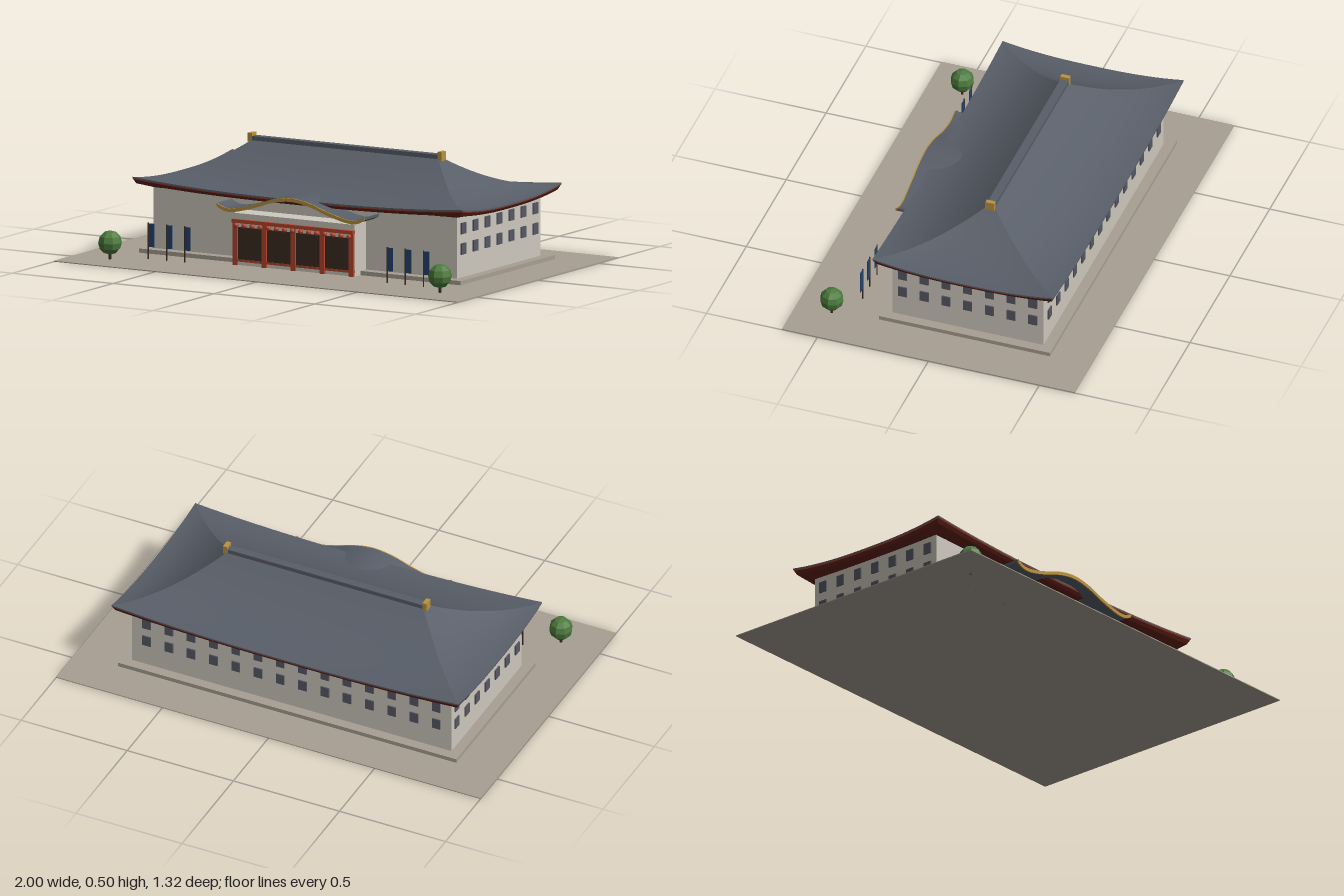
import * as THREE from 'three';

const mat = (name, color, extra = {}) => Object.assign(new THREE.MeshStandardMaterial({ color, ...extra }), { name });

export function createModel() {
  const model = new THREE.Group();
  model.name = 'hall';
  const stone = mat('stone', 0xa89f92);
  const plaster = mat('plaster', 0xcec9be);
  const tile = mat('roofTile', 0x585e68);
  const gold = mat('gold', 0xb8923f);
  const red = mat('redPaint', 0xb5452c);
  const maroon = mat('maroonEaves', 0x642219);
  const brown = mat('darkWood', 0x3c2c20);
  const blue = mat('bannerBlue', 0x24426f);
  const leaf = mat('leaf', 0x4c7a3c, { flatShading: true });
  const glass = mat('windowGrey', 0x575865);
  const CZ = -0.09; // centre of the hall in z

  const add = (name, geo, material, x = 0, y = 0, z = 0, parent = model) => {
    const m = new THREE.Mesh(geo, material);
    m.name = name;
    m.position.set(x, y, z);
    parent.add(m);
    return m;
  };
  // box given by centre x and z, and bottom and top y
  const box = (name, material, x, z, w, d, y0, y1, parent) =>
    add(name, new THREE.BoxGeometry(w, y1 - y0, d), material, x, (y0 + y1) / 2, z, parent);

  // ground, plinth, walls, porch
  box('ground', stone, 0, 0, 2, 1.32, 0, 0.004);
  box('plinth', stone, 0, CZ, 1.594, 0.772, 0.004, 0.022);
  box('walls', plaster, 0, CZ, 1.506, 0.682, 0.022, 0.292);
  box('porch', plaster, 0, 0.29, 0.6, 0.108, 0.004, 0.227);

  // windows: two rows on the sides and the back
  const windows = new THREE.Group();
  windows.name = 'windows';
  model.add(windows);
  for (const y of [0.145, 0.233]) {
    for (let i = -3; i <= 3; i++)
      for (const s of [-1, 1])
        box('sideWindow', glass, s * 0.755, CZ + i * 0.0978, 0.008, 0.039, y - 0.024, y + 0.024, windows);
    for (let i = 0; i < 14; i++)
      box('backWindow', glass, (i - 6.5) * 0.105, CZ - 0.343, 0.039, 0.008, y - 0.024, y + 0.024, windows);
  }

  // four-sided skirt through levels [halfX, halfZ, y, cornerLift], ordered inside-under to top
  const skirt = (name, levels, material) => {
    const N = 24, pos = [], idx = [];
    for (let side = 0; side < 4; side++) {
      const base = pos.length / 3;
      for (const [hx, hz, y, lift] of levels)
        for (let i = 0; i <= N; i++) {
          const u = (2 * i) / N - 1;
          const [x, z] = [[u * hx, hz], [hx, -u * hz], [-u * hx, -hz], [-hx, u * hz]][side];
          pos.push(x, y + lift * Math.abs(u) ** 2.5, z);
        }
      for (let l = 0; l < levels.length - 1; l++)
        for (let i = 0; i < N; i++) {
          const a = base + l * (N + 1) + i, b = a + 1, d = a + N + 1, c = d + 1;
          idx.push(a, b, c, a, c, d);
        }
    }
    const g = new THREE.BufferGeometry();
    g.setAttribute('position', new THREE.Float32BufferAttribute(pos, 3));
    g.setIndex(idx);
    g.computeVertexNormals();
    return add(name, g, material, 0, 0, CZ);
  };

  // curved hip roof with upswept corners
  const HX = 0.817, HZ = 0.408, LIFT = 0.029;
  const roofLevels = [];
  for (let i = 0; i <= 14; i++) {
    const t = i / 14;
    roofLevels.push([
      THREE.MathUtils.lerp(HX, 0.463, t), THREE.MathUtils.lerp(HZ, 0.016, t),
      0.303 + 0.162 * t ** 1.8, LIFT * (1 - t) ** 2,
    ]);
  }
  skirt('roof', roofLevels, tile);
  skirt('roofEdge', [[HX, HZ, 0.297, LIFT], [HX, HZ, 0.303, LIFT]], tile);
  skirt('eaveTrim', [[HX - 0.003, HZ - 0.003, 0.292, LIFT], [HX, HZ, 0.297, LIFT]], red);
  skirt('eaveFascia', [[HX - 0.012, HZ - 0.012, 0.28, LIFT * 0.8], [HX - 0.003, HZ - 0.003, 0.292, LIFT]], maroon);
  skirt('eaveUnderside', [[0.74, 0.33, 0.28, 0], [HX - 0.012, HZ - 0.012, 0.28, LIFT * 0.8]], maroon);

  // ridge with gold end caps
  box('ridge', tile, 0, CZ, 0.93, 0.036, 0.455, 0.482);
  for (const s of [-1, 1]) box('ridgeCap', gold, s * 0.47, CZ, 0.02, 0.04, 0.456, 0.495);

  // wavy entrance canopy with a gold front edge
  const half = [[0.365, 0.268], [0.325, 0.251], [0.27, 0.253], [0.18, 0.276], [0.09, 0.306]];
  const curve = new THREE.SplineCurve([
    ...half.map(([x, y]) => new THREE.Vector2(-x, y)),
    new THREE.Vector2(0, 0.319),
    ...half.slice().reverse().map(([x, y]) => new THREE.Vector2(x, y)),
  ]).getPoints(48);
  const ribbon = (drop, depth) => new THREE.ExtrudeGeometry(
    new THREE.Shape([
      ...curve.map((p) => new THREE.Vector2(p.x, p.y - drop)),
      ...curve.slice().reverse(),
    ]), { depth, bevelEnabled: false });
  add('canopy', ribbon(0.012, 0.19), tile, 0, 0, 0.18);
  add('canopyTrim', ribbon(0.015, 0.006), gold, 0, 0, 0.369);

  // entrance: doors, red posts, beam and lanterns
  const entrance = new THREE.Group();
  entrance.name = 'entrance';
  model.add(entrance);
  for (let i = 0; i < 4; i++)
    box('door', brown, (i - 1.5) * 0.144, 0.346, 0.118, 0.008, 0.03, 0.168, entrance);
  for (let i = -2; i <= 2; i++)
    box('post', red, i * 0.144, 0.348, 0.022, 0.014, 0.004, 0.187, entrance);
  box('beam', red, 0, 0.35, 0.6, 0.018, 0.187, 0.202, entrance);
  box('sill', red, 0, 0.347, 0.6, 0.01, 0.02, 0.03, entrance);
  for (let i = 0; i < 15; i++)
    add('lantern', new THREE.SphereGeometry(0.011, 10, 8), red, (i - 7) * 0.04, 0.177, 0.357, entrance);

  // banners on poles
  for (const s of [-1, 1])
    for (let i = -1; i <= 1; i++) {
      const x = s * 0.592 + i * 0.09;
      const banner = new THREE.Group();
      banner.name = 'banner';
      model.add(banner);
      add('pole', new THREE.CylinderGeometry(0.003, 0.003, 0.16, 6), brown, x, 0.08, 0.41, banner);
      box('cloth', blue, x + 0.014, 0.41, 0.029, 0.003, 0.056, 0.157, banner);
    }

  // clipped trees
  for (const s of [-1, 1]) {
    const tree = new THREE.Group();
    tree.name = 'tree';
    tree.position.set(s * 0.818, 0, 0.5);
    model.add(tree);
    add('trunk', new THREE.CylinderGeometry(0.006, 0.006, 0.05, 6), brown, 0, 0.025, 0, tree);
    add('foliage', new THREE.SphereGeometry(0.052, 8, 6), leaf, 0, 0.076, 0, tree);
  }

  return model;
}
